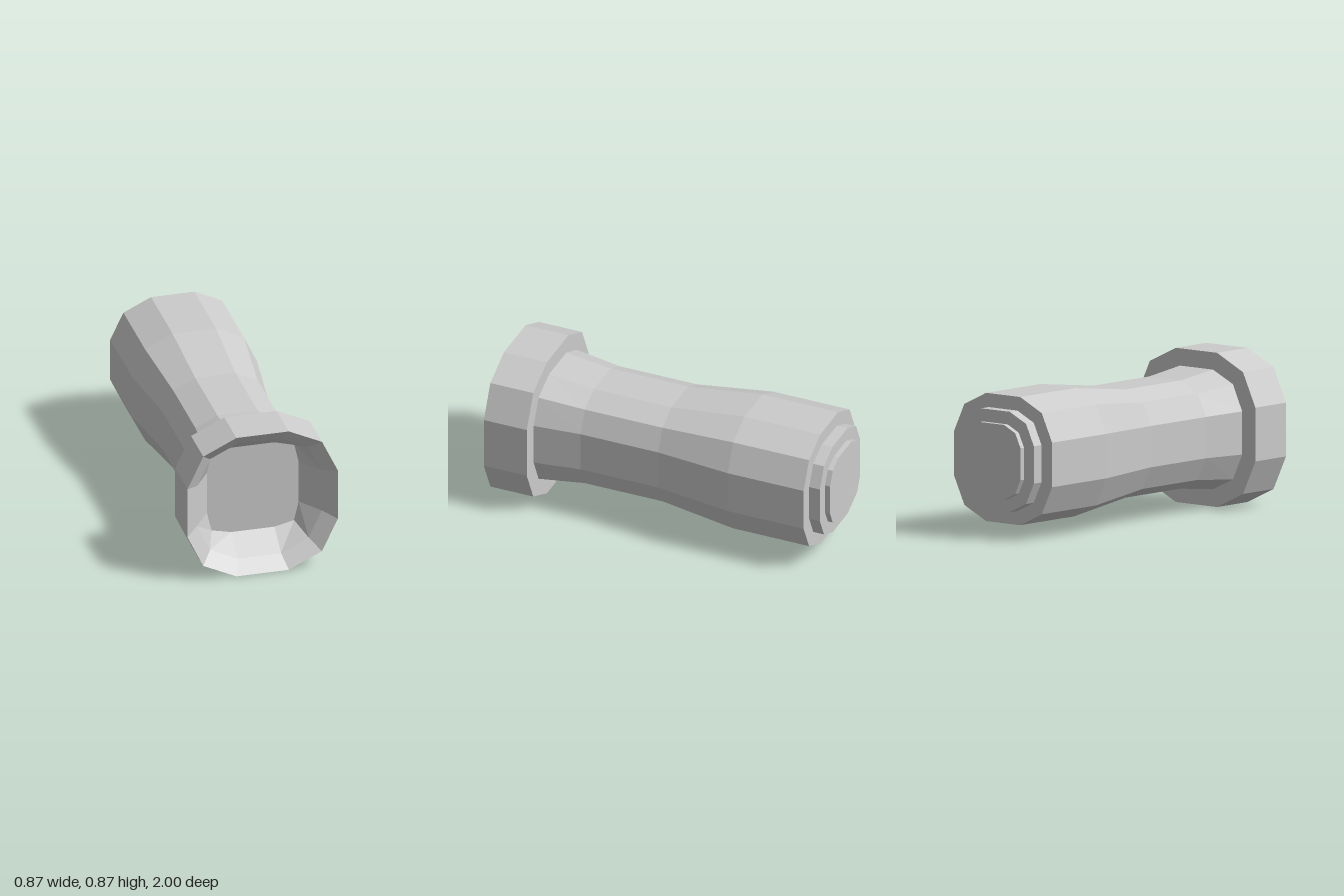
import * as THREE from 'three';

const CENTRE_Y = 0.433;
const material = new THREE.MeshStandardMaterial({ color: 0xcccccc, flatShading: true });

// Twelve-sided section: h = half height, w = half width of the flats, c = corner
function section([z, h, w, c]) {
  const quarter = [[h, -w], [h, w], [c, c]];
  const points = [];
  for (let turn = 0; turn < 4; turn++) {
    for (const [px, py] of quarter) {
      let x = px, y = py;
      for (let k = 0; k < turn; k++) [x, y] = [-y, x];
      points.push(new THREE.Vector3(x, y + CENTRE_Y, z));
    }
  }
  return points;
}

// Skins a run of sections, with optional flat caps at either end
function loft(name, profile, { frontCap = false, backCap = false } = {}) {
  const rings = profile.map(section);
  const triangles = [];
  const n = 12;
  for (let r = 0; r < rings.length - 1; r++) {
    const a = rings[r], b = rings[r + 1];
    for (let i = 0; i < n; i++) {
      const j = (i + 1) % n;
      triangles.push(a[i], b[i], a[j], a[j], b[i], b[j]);
    }
  }
  const first = rings[0], last = rings[rings.length - 1];
  for (let i = 0; i < n; i++) {
    const j = (i + 1) % n;
    if (frontCap) triangles.push(new THREE.Vector3(0, CENTRE_Y, first[0].z), first[i], first[j]);
    if (backCap) triangles.push(new THREE.Vector3(0, CENTRE_Y, last[0].z), last[j], last[i]);
  }
  const geometry = new THREE.BufferGeometry().setFromPoints(triangles);
  geometry.computeVertexNormals();
  const mesh = new THREE.Mesh(geometry, material);
  mesh.name = name;
  return mesh;
}

export function createModel() {
  const group = new THREE.Group();
  group.name = 'flashlight';

  // Head: recessed lens, two-step reflector, outer collar and rear shoulder
  group.add(loft('head', [
    [0.79, 0.264, 0.125, 0.238],
    [0.93, 0.36, 0.125, 0.284],
    [1, 0.433, 0.151, 0.342],
    [0.74, 0.433, 0.151, 0.342],
    [0.74, 0.336, 0.121, 0.268],
  ], { frontCap: true }));

  // Handle: narrow grip swelling into a wider rear barrel
  group.add(loft('handle', [
    [0.74, 0.336, 0.121, 0.268],
    [0.47, 0.304, 0.116, 0.243],
    [0, 0.304, 0.116, 0.243],
    [-0.445, 0.36, 0.125, 0.284],
    [-0.905, 0.36, 0.125, 0.284],
    [-0.905, 0.282, 0.105, 0.225],
  ]));

  // Tail cap and push button
  group.add(loft('tailCap', [
    [-0.905, 0.282, 0.105, 0.225],
    [-0.97, 0.282, 0.105, 0.225],
    [-0.97, 0.21, 0.09, 0.171],
  ]));
  group.add(loft('tailButton', [
    [-0.97, 0.21, 0.09, 0.171],
    [-1, 0.21, 0.09, 0.171],
  ], { backCap: true }));

  return group;
}
